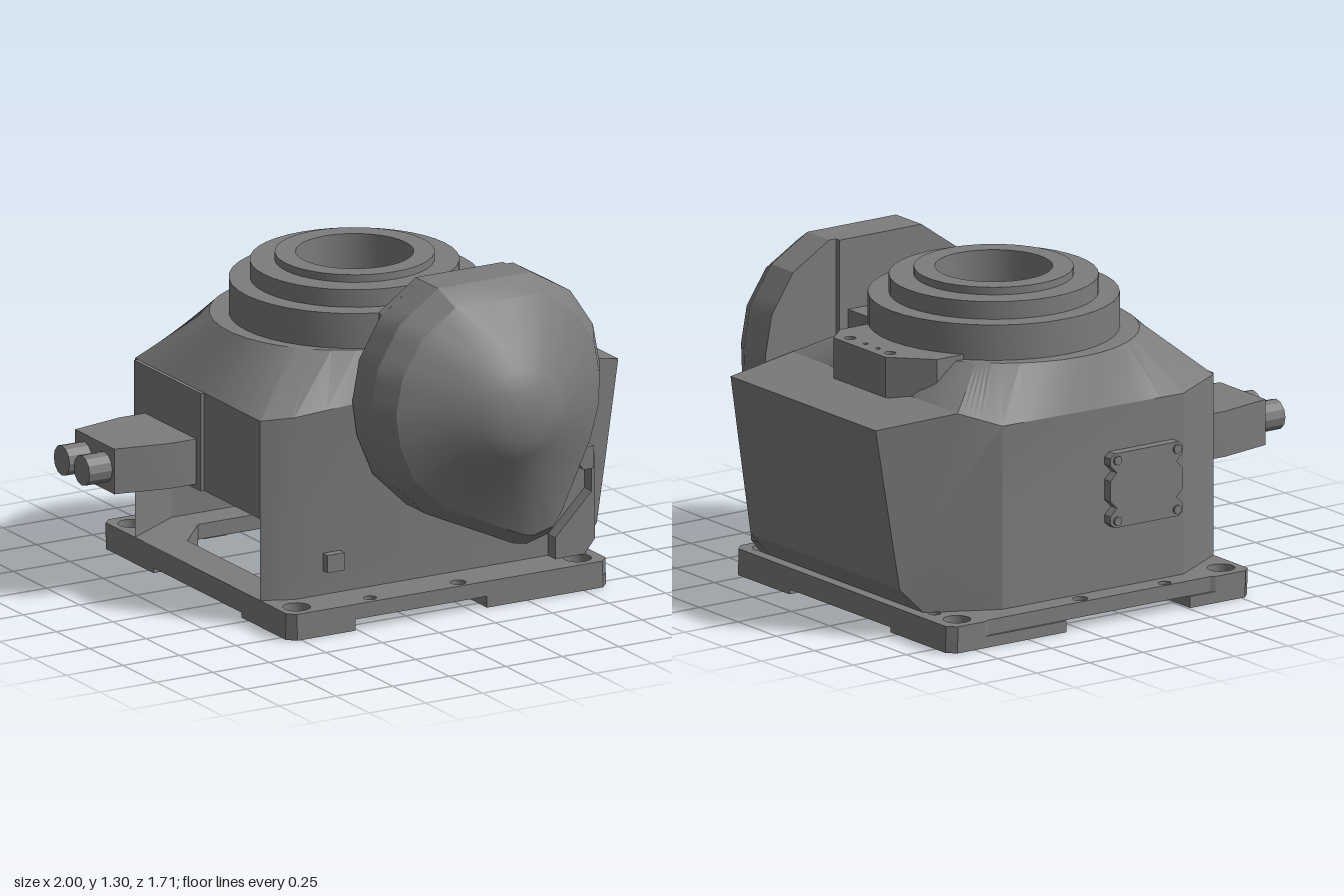
import * as THREE from 'three';
import { toCreasedNormals } from 'three/addons/utils/BufferGeometryUtils.js';

const material = new THREE.MeshStandardMaterial({ color: 0x7c7c7c, side: THREE.DoubleSide });

function add(group, name, geometry) {
  const mesh = new THREE.Mesh(toCreasedNormals(geometry, 0.45), material);
  mesh.name = name;
  group.add(mesh);
  return mesh;
}

function box(x0, x1, y0, y1, z0, z1) {
  return new THREE.BoxGeometry(x1 - x0, y1 - y0, z1 - z0)
    .translate((x0 + x1) / 2, (y0 + y1) / 2, (z0 + z1) / 2);
}

function shapeOf(points, holes = []) {
  const shape = new THREE.Shape(points.map(([x, y]) => new THREE.Vector2(x, y)));
  for (const [x, y, r] of holes) shape.holes.push(new THREE.Path().absarc(x, y, r, 0, Math.PI * 2));
  return shape;
}

// Extrude an x,z plan upwards from y0 to y1
function plan(points, y0, y1, holes = [], opening) {
  const shape = shapeOf(points.map(([x, z]) => [x, -z]), holes.map(([x, z, r]) => [x, -z, r]));
  if (opening) shape.holes.push(new THREE.Path(opening.map(([x, z]) => new THREE.Vector2(x, -z))));
  return new THREE.ExtrudeGeometry(shape, { depth: y1 - y0, bevelEnabled: false, curveSegments: 10 })
    .rotateX(-Math.PI / 2).translate(0, y0, 0);
}

// Extrude an x,y outline from z0 to z1
function upright(points, z0, z1) {
  return new THREE.ExtrudeGeometry(shapeOf(points), { depth: z1 - z0, bevelEnabled: false }).translate(0, 0, z0);
}

// Split each edge of a closed polygon into equal steps
function subdivide(points, steps) {
  return points.flatMap((p, i) => {
    const q = points[(i + 1) % points.length];
    return Array.from({ length: steps }, (_, s) => p.map((v, c) => v + (q[c] - v) * s / steps));
  });
}

// Skin closed rings of [x, y, z] points; skip(level, edge) leaves a panel out
function loft(rings, skip = () => false) {
  const n = rings[0].length, index = [];
  for (let k = 0; k < rings.length - 1; k++) {
    for (let i = 0; i < n; i++) {
      if (skip(k, i)) continue;
      const a = k * n + i, b = k * n + (i + 1) % n;
      index.push(a, b, b + n, a, b + n, a + n);
    }
  }
  const geometry = new THREE.BufferGeometry();
  geometry.setAttribute('position', new THREE.Float32BufferAttribute(rings.flat(2), 3));
  geometry.setIndex(index);
  return geometry;
}

function buildBase(group) {
  const base = new THREE.Group();
  base.name = 'basePlate';
  const corners = [[-0.47, 0.48], [0.77, 0.48], [0.77, -0.76], [-0.47, -0.76]];
  const counterbores = corners.map(([x, z]) => [x, z, 0.053]);
  const small = [[-0.17, -0.81, 0.025], [0.22, -0.8, 0.03], [-0.17, 0.52, 0.025], [0.22, 0.52, 0.03], [0.79, -0.64, 0.025]];
  const outline = [[-0.55, -0.82], [-0.52, -0.85], [-0.38, -0.85], [-0.36, -0.84], [0.68, -0.84], [0.7, -0.85],
    [0.83, -0.85], [0.865, -0.82], [0.865, 0.53], [0.83, 0.565], [-0.52, 0.565], [-0.55, 0.535]];
  const opening = [[-0.4, -0.46], [-0.26, -0.62], [0.32, -0.62], [0.62, -0.46],
    [0.62, 0.2], [0.32, 0.36], [-0.26, 0.36], [-0.4, 0.2]];
  add(base, 'plate', plan(outline, 0.045, 0.105, [...counterbores, ...small], opening));

  // Corner feet: outer corner, inner limits and the diagonal at the opening
  const feet = [[-0.55, 0.565, -0.26, 0.2, -0.4, 0.36], [0.865, 0.565, 0.32, 0.2, 0.62, 0.36],
    [0.865, -0.85, 0.32, -0.46, 0.62, -0.62], [-0.55, -0.85, -0.26, -0.46, -0.4, -0.62]];
  feet.forEach(([x, z, xi, zi, xo, zo], i) => {
    const sx = Math.sign(x) * 0.033, sz = Math.sign(z) * 0.033;
    add(base, 'foot', plan([[x, z - sz], [x - sx, z], [xi, z], [xi, zo], [xo, zi], [x, zi]], 0, 0.045,
      [[...corners[i], 0.037]]));
  });
  add(base, 'leftRail', box(0.62, 0.865, 0.02, 0.045, -0.46, 0.2));
  add(base, 'rightRail', box(-0.55, -0.4, 0.02, 0.045, -0.46, 0.2));
  for (const x of [-0.17, 0.22]) {
    add(base, 'frontPad', box(x - 0.05, x + 0.05, 0.035, 0.045, 0.37, 0.48));
    add(base, 'backPad', box(x - 0.05, x + 0.05, 0.035, 0.045, -0.77, -0.64));
  }
  group.add(base);
}

function buildHousing(group) {
  // xr, zr: left rear corner; xs, zs: end of the left side pocket on the back
  const footprint = (xr, zr, xs, zs) => [[-0.55, 0.34], [-0.43, 0.395], [0.71, 0.395], [xr, 0.395], [xr, zr],
    [xs, zs], [0.55, -0.75], [-0.3, -0.75], [-0.55, -0.6]];
  const level = (y, ...rear) => footprint(...rear).map(([x, z]) => [x, y, z]);
  const topY = [0.82, 0.83, 0.89, 0.84, 0.84, 0.89, 0.83, 0.82, 0.82];
  const rim = footprint(1, -0.55, 0.71, -0.68).map(([x, z], i) => [x, topY[i], z]);

  // Hollow walls, open low on the connector side
  add(group, 'housingWalls', loft([level(0.105, 0.82, -0.61, 0.8, -0.622), level(0.2, 0.905, -0.575, 0.87, -0.59),
    level(0.43, 0.94, -0.566, 0.815, -0.62), rim], (k, i) => k < 2 && i === 8));
  add(group, 'sideRoof', loft([[rim[2], rim[3]], [rim[5], rim[4]]], (k, i) => i === 1));

  // Roof blends the wall rim into the round turret seat
  const lower = subdivide(rim.filter((p, i) => i !== 3 && i !== 4), 8);
  const cx = 0.12, cz = -0.17;
  const circle = (r, y) => lower.map(([x, , z]) => {
    const a = Math.atan2(z - cz, x - cx);
    return [cx + r * Math.cos(a), y, cz + r * Math.sin(a)];
  });
  add(group, 'roof', loft([lower, circle(0.513, 1.02), circle(0.4, 1.02)]));

  // Sensor block on the roof with screw holes
  add(group, 'roofBlock', plan([[0.5, -0.45], [0.64, -0.45], [0.78, -0.31], [0.78, 0.03], [0.69, 0.11], [0.5, 0.11]],
    0.88, 1.04, [[0.73, -0.27, 0.022], [0.73, -0.19, 0.01], [0.73, -0.11, 0.01], [0.73, -0.01, 0.022]]));
}

function buildTurret(group) {
  const profile = [[0.4, 1.0], [0.48, 1.0], [0.48, 1.16], [0.4, 1.16], [0.4, 1.23],
    [0.305, 1.23], [0.305, 1.26], [0.225, 1.26], [0.225, 0.86], [0, 0.86]];
  add(group, 'turretRing', new THREE.LatheGeometry(profile.map(([r, y]) => new THREE.Vector2(r, y)), 40)
    .translate(0.15, 0, -0.14));
}

function buildMotorCover(group) {
  const outline = subdivide([[0.115, 1.3], [0.53, 1.3], [0.7, 1.2], [0.8, 1.05], [0.83, 0.89], [0.825, 0.755],
    [0.785, 0.61], [0.64, 0.3], [0.6, 0.245], [0.505, 0.22], [0.45, 0.23], [0.06, 0.41], [-0.09, 0.555],
    [-0.16, 0.72], [-0.18, 0.86], [-0.15, 1.02], [-0.055, 1.18]], 3);
  const mx = 0.32, my = 0.835;
  const scaled = (s, z) => outline.map(([x, y]) => [mx + (x - mx) * s, 0.8 + (y - 0.8) * s, z]);
  const round = (r, z) => outline.map(([x, y]) => {
    const a = Math.atan2(y - my, x - mx);
    return [mx + r * Math.cos(a), my + r * Math.sin(a), z];
  });
  add(group, 'motorCover', loft([scaled(0, 0.403), scaled(1, 0.403), scaled(1, 0.545), scaled(0.89, 0.64),
    round(0.26, 0.75), round(0.18, 0.815), round(0.1, 0.85), round(0, 0.857)]));

  // Raised back of the cover and the neck joining it to the housing
  add(group, 'coverBack', upright([[-0.05, 0.8], [0.5, 0.8], [0.5, 1.3], [0.115, 1.3], [-0.05, 1.184]], 0.378, 0.41));
  add(group, 'coverNeck', box(-0.05, 0.46, 0.82, 1.02, 0.1, 0.41));
}

function buildFittings(group) {
  // Connector box with two plugs
  add(group, 'connectorPanel', box(-0.565, -0.545, 0.43, 0.82, -0.58, -0.08));
  add(group, 'connectorBox', plan([[-0.56, -0.5], [-0.68, -0.5], [-0.9, -0.455], [-0.9, -0.16], [-0.68, -0.115],
    [-0.56, -0.115]], 0.45, 0.63));
  for (const z of [-0.385, -0.235]) {
    add(group, 'plug', new THREE.CylinderGeometry(0.06, 0.06, 0.1, 12).rotateZ(Math.PI / 2).translate(-0.95, 0.54, z));
  }

  // Rear cover plate, notched at its sides, with four corner screws
  const px = -0.1, py = 0.5;
  const quarter = [[0.17, 0.04], [0.14, 0.07], [0.17, 0.1], [0.17, 0.13], [0.15, 0.147]];
  const mirror = (sx, sy) => quarter.map(([x, y]) => [px + sx * x, py + sy * y]);
  add(group, 'rearCover', upright([...mirror(1, 1), ...mirror(-1, 1).reverse(), ...mirror(-1, -1),
    ...mirror(1, -1).reverse()], -0.79, -0.745));
  for (const sx of [-1, 1]) for (const sy of [-1, 1]) {
    add(group, 'rearScrew', new THREE.CylinderGeometry(0.018, 0.018, 0.03, 10).rotateX(Math.PI / 2)
      .translate(px + sx * 0.14, py + sy * 0.12, -0.785));
  }

  // Front stud, cable bracket and its clip
  add(group, 'frontStud', box(-0.305, -0.23, 0.2, 0.27, 0.385, 0.43));
  add(group, 'cableBracket', upright([[0.69, 0.105], [0.69, 0.19], [0.85, 0.35], [0.85, 0.5], [0.865, 0.5],
    [0.865, 0.16], [0.82, 0.105]], 0.385, 0.45));
  add(group, 'bracketClip', upright([[0.785, 0.47], [0.8, 0.45], [0.845, 0.45], [0.845, 0.54], [0.785, 0.54]], 0.39, 0.475));
}

export function createModel() {
  const group = new THREE.Group();
  group.name = 'armBase';
  buildBase(group);
  buildHousing(group);
  buildTurret(group);
  buildMotorCover(group);
  buildFittings(group);
  return group;
}
